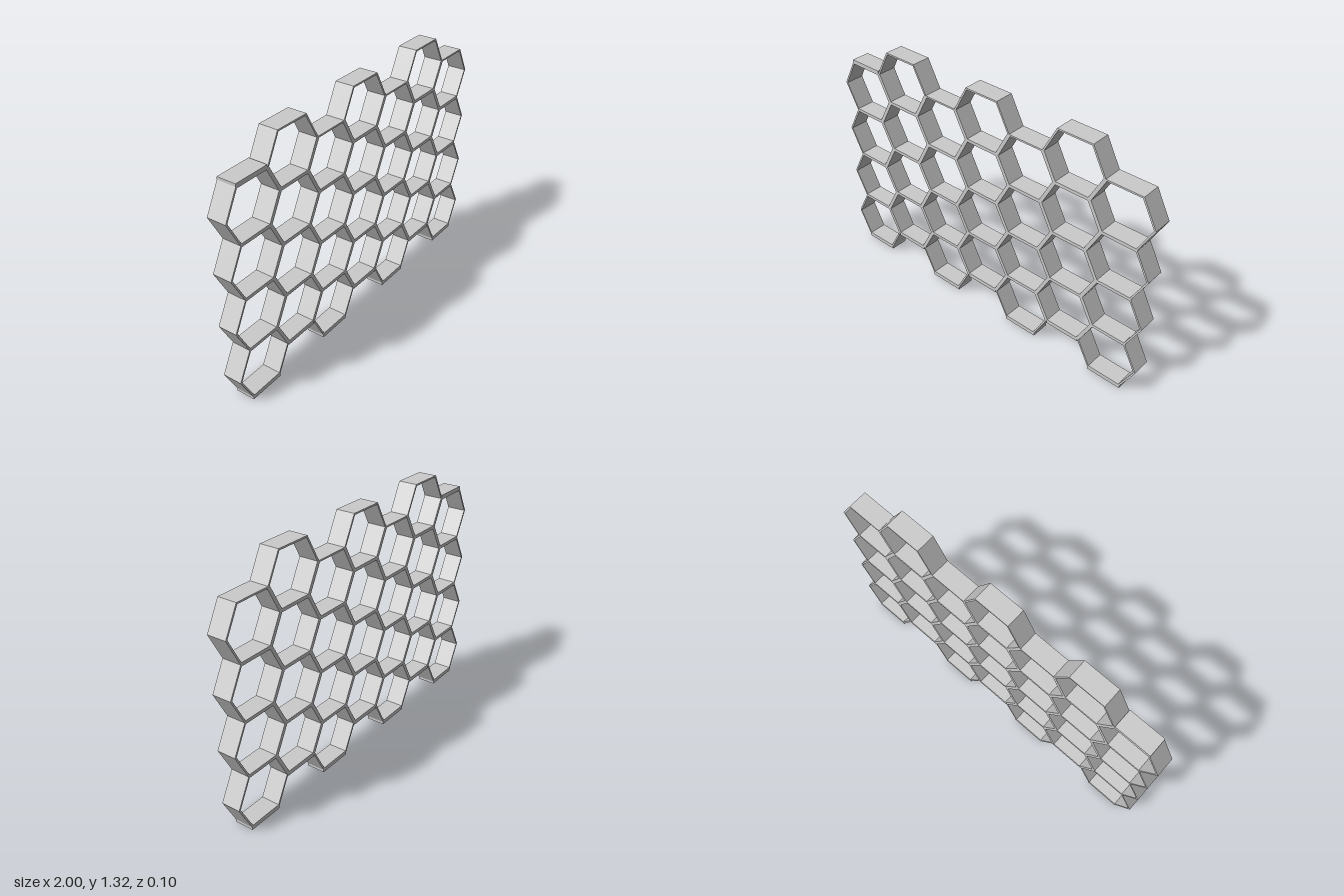
import * as THREE from 'three';

const PITCH_X = 0.2743, PITCH_Y = 0.2908;
const FLAT = 0.0985, HALF_W = PITCH_X - FLAT, HALF_H = PITCH_Y / 2;
const WALL = 0.009, DEPTH = 0.104, STRIP = 0.0148;
const COLUMNS = 7, ROWS = 4;

// Hexagon corners with flat top and bottom, shrunk by a wall thickness
function hexagon(inset) {
  const s = 1 - inset / HALF_H;
  return [[HALF_W, 0], [FLAT, HALF_H], [-FLAT, HALF_H], [-HALF_W, 0], [-FLAT, -HALF_H], [FLAT, -HALF_H]]
    .map(([x, y]) => new THREE.Vector2(x * s, y * s));
}

export function createModel() {
  const model = new THREE.Group();
  model.name = 'honeycombPanel';
  const material = new THREE.MeshStandardMaterial({ color: 0xcccccc, flatShading: true });

  // One open cell: a thin hexagonal ring
  const ring = new THREE.Shape(hexagon(0));
  ring.holes.push(new THREE.Path(hexagon(WALL)));
  const cellGeometry = new THREE.ExtrudeGeometry(ring, { depth: DEPTH, bevelEnabled: false });
  cellGeometry.translate(0, 0, -DEPTH / 2);

  // Flat strip that thickens an exposed horizontal edge
  const stripGeometry = new THREE.BoxGeometry(2 * FLAT, STRIP, DEPTH);

  const add = (geometry, name, x, y) => {
    const mesh = new THREE.Mesh(geometry, material);
    mesh.name = name;
    mesh.position.set(x, y, 0);
    model.add(mesh);
  };

  for (let c = 0; c < COLUMNS; c++) {
    const x = (c - (COLUMNS - 1) / 2) * PITCH_X;
    const base = STRIP + (c % 2) * HALF_H; // odd columns sit half a cell higher
    for (let r = 0; r < ROWS; r++) add(cellGeometry, 'cell', x, base + HALF_H + r * PITCH_Y);
    add(stripGeometry, 'bottomStrip', x, base - STRIP / 2);
    if (c === 0) add(stripGeometry, 'topStrip', x, base + ROWS * PITCH_Y + STRIP / 2);
  }
  return model;
}
